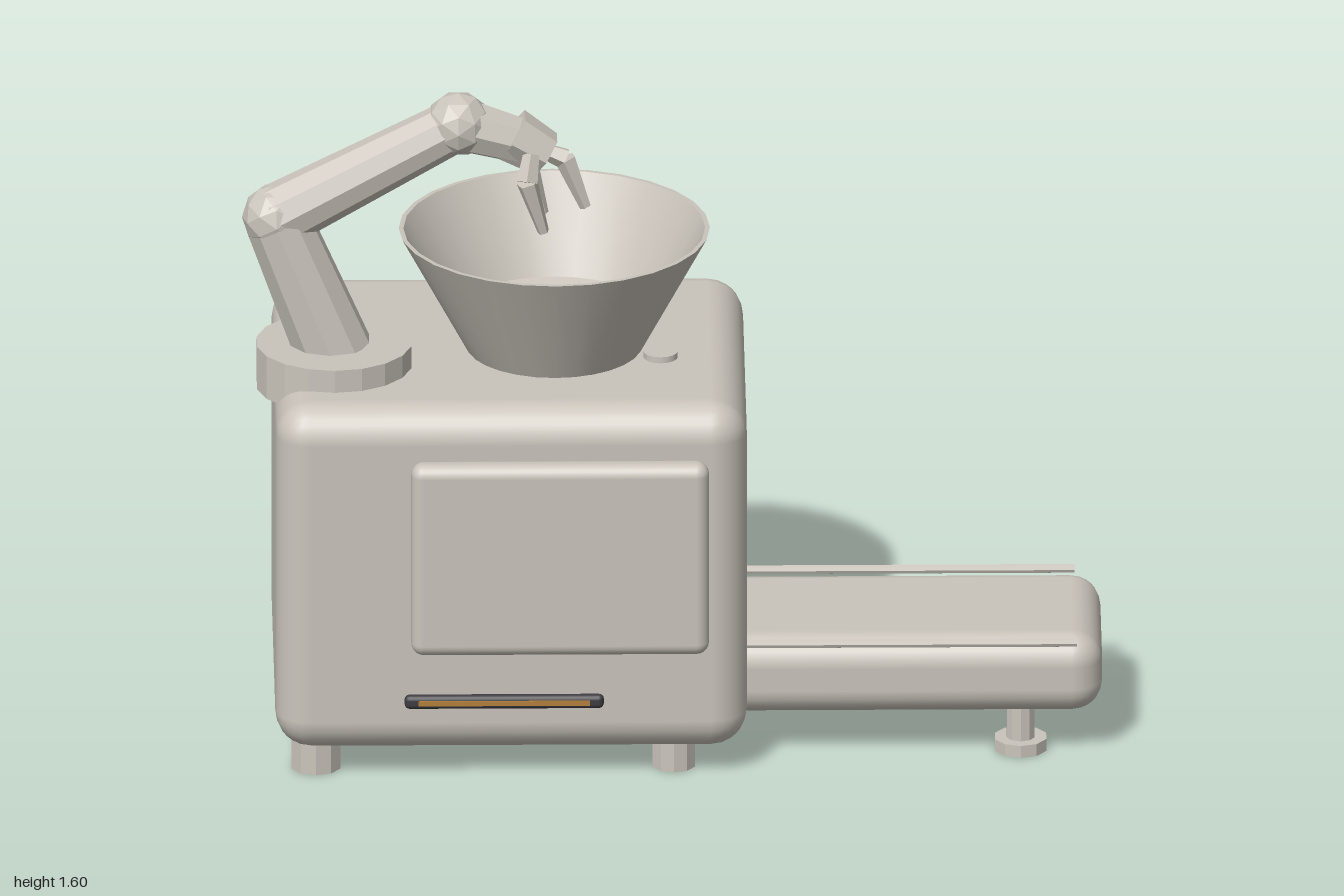
import * as THREE from 'three';
import { toCreasedNormals } from 'three/addons/utils/BufferGeometryUtils.js';
import { RoundedBoxGeometry } from 'three/addons/geometries/RoundedBoxGeometry.js';

export function createModel() {
  const model = new THREE.Group();
  const stone = new THREE.MeshStandardMaterial({ color: 0xcac4bb });
  stone.name = 'warm grey';
  const dark = new THREE.MeshStandardMaterial({ color: 0x3c3c42 });
  dark.name = 'dark grey';
  const amber = new THREE.MeshStandardMaterial({ color: 0xb5803c });
  amber.name = 'amber';

  const add = (name, geometry, x = 0, y = 0, z = 0, material = stone, parent = model) => {
    const mesh = new THREE.Mesh(geometry, material);
    mesh.name = name;
    mesh.position.set(x, y, z);
    parent.add(mesh);
    return mesh;
  };
  // faceted geometry with hard edges
  const flat = (geometry) => {
    const g = geometry.index ? geometry.toNonIndexed() : geometry;
    g.computeVertexNormals();
    return g;
  };
  const post = (r, h, sides = 10) => flat(new THREE.CylinderGeometry(r, r, h, sides));
  // tapered faceted bar between two points
  const bar = (name, a, b, r1, r2, sides, parent) => {
    const from = new THREE.Vector3(...a), to = new THREE.Vector3(...b);
    const dir = to.clone().sub(from);
    const mid = from.clone().add(to).multiplyScalar(0.5);
    const mesh = add(name, flat(new THREE.CylinderGeometry(r2, r1, dir.length(), sides)),
      mid.x, mid.y, mid.z, stone, parent);
    mesh.quaternion.setFromUnitVectors(new THREE.Vector3(0, 1, 0), dir.normalize());
    return mesh;
  };

  // housing: rounded box whose flat back panel is left open for the vent frame
  const W = 1.1, H = 0.865, D = 0.89, R = 0.085;
  const CX = -0.38, CY = 0.4975, CZ = -0.035;
  const shell = new RoundedBoxGeometry(W, H, D, 3, R);
  const p = shell.attributes.position, kept = [], normals = [];
  for (let i = 0; i < p.count; i += 3) {
    if ([0, 1, 2].every((k) => p.getZ(i + k) < -D / 2 + 1e-4)) continue;
    for (let k = i; k < i + 3; k++) {
      kept.push(p.getX(k), p.getY(k), p.getZ(k));
      normals.push(shell.attributes.normal.getX(k), shell.attributes.normal.getY(k), shell.attributes.normal.getZ(k));
    }
  }
  const housing = new THREE.BufferGeometry();
  housing.setAttribute('position', new THREE.Float32BufferAttribute(kept, 3));
  housing.setAttribute('normal', new THREE.Float32BufferAttribute(normals, 3));
  add('housing', housing, CX, CY, CZ);

  // back panel with a recessed vent
  const vent = new THREE.Group();
  vent.name = 'backVent';
  vent.position.set(CX, CY, CZ - D / 2);
  model.add(vent);
  const rect = (Type, x0, x1, y0, y1) => new Type([[x0, y0], [x1, y0], [x1, y1], [x0, y1]]
    .map(([x, y]) => new THREE.Vector2(x, y)));
  const panel = rect(THREE.Shape, -W / 2 + R, W / 2 - R, -H / 2 + R, H / 2 - R);
  const vx = 0.05, vy = -0.16, vw = 0.32, vh = 0.27, depth = 0.07;
  panel.holes.push(rect(THREE.Path, vx - vw / 2, vx + vw / 2, vy - vh / 2, vy + vh / 2));
  add('backPanel', new THREE.ExtrudeGeometry(panel, { depth, bevelEnabled: false }), 0, 0, 0, stone, vent);
  add('ventBack', new THREE.BoxGeometry(vw + 0.02, vh + 0.02, 0.02), vx, vy, depth + 0.01, stone, vent);
  for (let i = 0; i < 7; i++) {
    const slat = add('ventSlat', new THREE.BoxGeometry(vw, 0.01, 0.055),
      vx, vy + (i - 3) * 0.037, 0.04, stone, vent);
    slat.rotation.x = -0.5;
  }

  // front door and indicator slot
  add('door', new RoundedBoxGeometry(0.695, 0.48, 0.066, 3, 0.03), -0.267, 0.58, 0.45);
  add('slotFrame', new RoundedBoxGeometry(0.465, 0.034, 0.03, 2, 0.012), -0.397, 0.204, 0.41, dark);
  add('slotStrip', new THREE.BoxGeometry(0.4, 0.012, 0.004), -0.397, 0.204, 0.426, amber);

  // housing feet
  for (const x of [-0.835, 0])
    for (const z of [0.305, -0.34]) add('foot', post(x ? 0.06 : 0.052, 0.1), x, 0.05, z);

  // conveyor with rails and two feet
  add('conveyor', new RoundedBoxGeometry(0.95, 0.195, 0.46, 3, 0.07), 0.525, 0.2025, 0.06);
  for (const z of [0.288, -0.168]) {
    const rail = add('rail', post(0.011, 0.84, 8), 0.52, 0.295, z);
    rail.rotation.z = Math.PI / 2;
  }
  for (const z of [0.215, -0.09]) {
    add('conveyorLeg', post(0.034, 0.11), 0.81, 0.075, z);
    add('conveyorFoot', post(0.063, 0.03), 0.81, 0.015, z);
  }

  // hopper with an inner ledge, and a button beside it
  const profile = [[0.2, 0.92], [0.363, 1.225], [0.352, 1.225], [0.237, 1.005], [0.18, 0.985], [0, 0.985]]
    .map(([r, y]) => new THREE.Vector2(r, y));
  add('hopper', toCreasedNormals(new THREE.LatheGeometry(profile, 28), 0.3), -0.275, 0, -0.008);
  add('button', toCreasedNormals(new THREE.CylinderGeometry(0.04, 0.04, 0.03, 16), 0.6), -0.028, 0.93, 0.07);

  // robot arm
  const arm = new THREE.Group();
  arm.name = 'robotArm';
  model.add(arm);
  const joint = (name, c, r) => add(name, flat(new THREE.IcosahedronGeometry(r, 1)), ...c, stone, arm);
  add('armBase', post(0.183, 0.107, 18), -0.79, 0.932, 0.1, stone, arm);
  const shoulder = [-0.925, 1.3, 0.1], elbow = [-0.5, 1.52, 0.07], wrist = [-0.34, 1.47, 0.065];
  bar('lowerArm', [-0.79, 0.96, 0.1], shoulder, 0.092, 0.078, 10, arm);
  joint('shoulderJoint', shoulder, 0.08);
  bar('upperArm', shoulder, elbow, 0.077, 0.062, 10, arm);
  joint('elbowJoint', elbow, 0.077);
  bar('forearm', elbow, wrist, 0.066, 0.054, 8, arm);
  bar('hand', [-0.375, 1.49, 0.065], [-0.295, 1.44, 0.065], 0.066, 0.056, 6, arm);

  // three gripping fingers, two segments each
  const finger = (a, b, c) => {
    bar('fingerBase', a, b, 0.02, 0.026, 5, arm);
    bar('fingerTip', b, c, 0.026, 0.014, 5, arm);
  };
  for (const s of [1, -1])
    finger([-0.33, 1.46, 0.065 + s * 0.05], [-0.34, 1.4, 0.07 + s * 0.072], [-0.302, 1.27, 0.07 + s * 0.058]);
  finger([-0.3, 1.45, 0.065], [-0.25, 1.43, 0.067], [-0.203, 1.31, 0.07]);

  return model;
}
